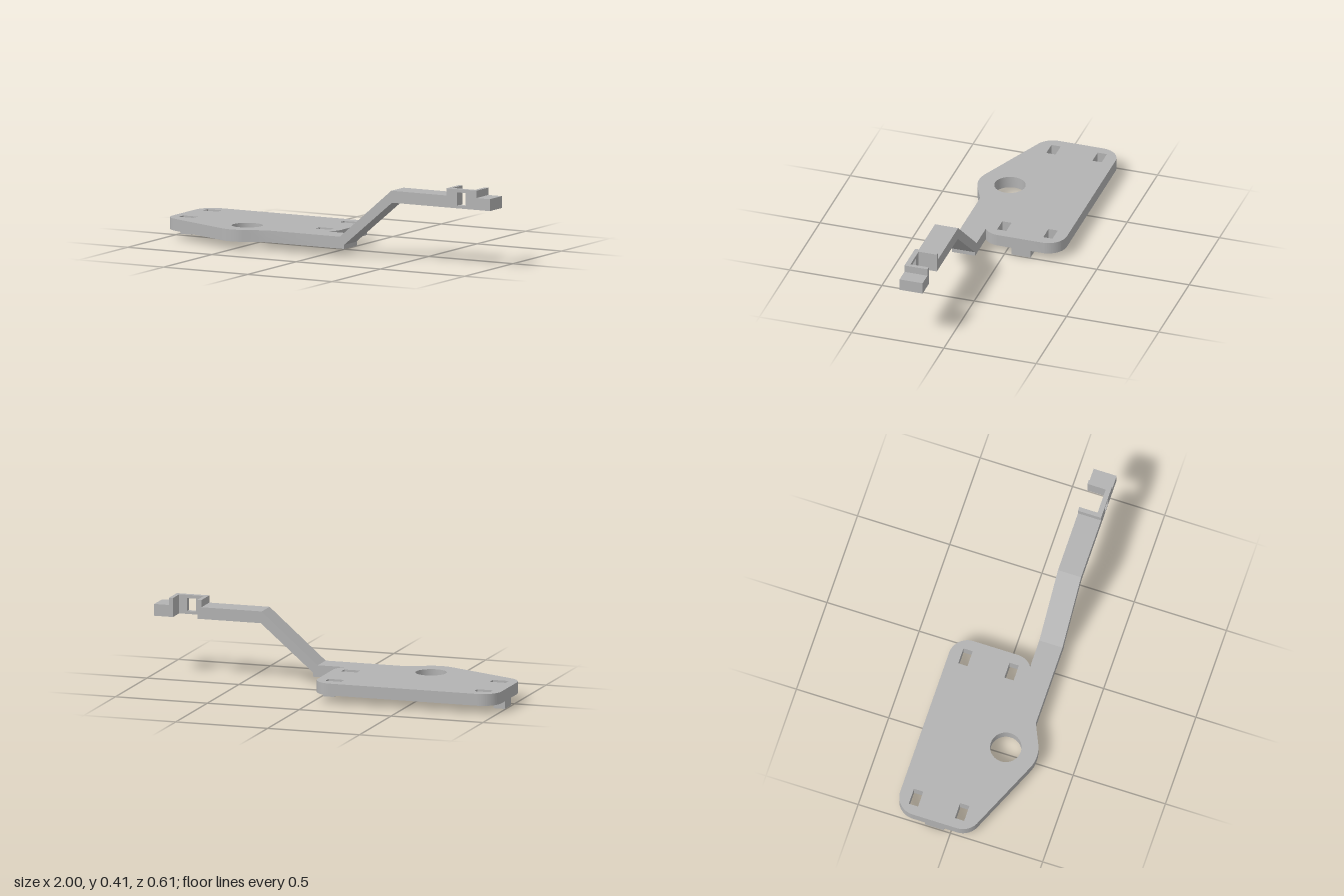
import * as THREE from 'three';
import { toCreasedNormals } from 'three/addons/utils/BufferGeometryUtils.js';

const grey = new THREE.MeshStandardMaterial({ color: 0xb3b3b3 });
grey.name = 'plain grey';

const polygon = (pts) => new THREE.Shape(pts.map(([x, y]) => new THREE.Vector2(x, y)));

function rectHole(x0, x1, y0, y1) {
  return new THREE.Path([[x0, y0], [x1, y0], [x1, y1], [x0, y1]].map(([x, y]) => new THREE.Vector2(x, y)));
}

function circleHole(x, y, r) {
  return new THREE.Path().absarc(x, y, r, 0, Math.PI * 2, true);
}

function extrude(name, shape, depth) {
  const geo = new THREE.ExtrudeGeometry(shape, { depth, bevelEnabled: false, curveSegments: 20 });
  const mesh = new THREE.Mesh(toCreasedNormals(geo, 0.5), grey);
  mesh.name = name;
  return mesh;
}

// Shape drawn in plan (x, z), lying flat between two heights
function flat(name, shape, bottom, top) {
  const mesh = extrude(name, shape, top - bottom);
  mesh.geometry.rotateX(Math.PI / 2).translate(0, top, 0);
  return mesh;
}

// Shape drawn in front elevation (x, y), between two depths
function upright(name, shape, back, front) {
  const mesh = extrude(name, shape, front - back);
  mesh.geometry.translate(0, 0, back);
  return mesh;
}

export function createModel() {
  const model = new THREE.Group();
  model.name = 'mountingBracket';

  const y0 = 0.043, y1 = 0.105;          // base plate
  const armBack = 0.115, armFront = 0.24; // arm depth
  const low = 0.305, high = 0.367, lip = 0.405; // raised arm heights
  const tilt = 0.403;                    // slope of the pointed front edge

  // Base plate outline: rounded corners, front nose, stub toward the arm
  const r = 0.1, noseX = -0.5, noseZ = 0.137;
  const plate = new THREE.Shape();
  plate.moveTo(-0.9, -0.305);
  plate.lineTo(-0.1, -0.305);
  plate.absarc(-0.1, -0.205, r, -Math.PI / 2, 0, false);
  plate.absarc(-0.1, 0.035, r, 0, Math.asin(0.8), false);
  plate.lineTo(0.11, armBack);
  plate.lineTo(0.11, armFront);
  plate.lineTo(-0.325, armFront);
  plate.absarc(noseX, noseZ, 0.166, Math.PI / 2 - tilt, Math.PI / 2 + tilt, false);
  plate.absarc(-0.9, 0.035, r, Math.PI / 2 + tilt, Math.PI, false);
  plate.absarc(-0.9, -0.205, r, Math.PI, Math.PI * 1.5, false);

  // Round opening and four strap slots
  plate.holes.push(circleHole(noseX, 0.135, 0.081));
  for (const x of [-0.95, -0.14]) {
    for (const z of [-0.242, 0.008]) plate.holes.push(rectHole(x, x + 0.086, z, z + 0.05));
  }
  model.add(flat('basePlate', plate, y0, y1));

  // Feet under the plate, each with a small screw hole
  for (const [name, x] of [['rightFoot', -0.995], ['leftFoot', -0.067]]) {
    const foot = polygon([[x, -0.139], [x + 0.062, -0.139], [x + 0.062, -0.037], [x, -0.037]]);
    foot.holes.push(circleHole(x + 0.031, -0.088, 0.016));
    model.add(flat(name, foot, 0, y0));
  }

  // Cranked arm with a raised lip at the pocket
  model.add(upright('arm', polygon([
    [0.11, y0], [0.135, y0], [0.135, 0.064], [0.42, low], [0.765, low], [0.765, lip],
    [0.743, lip], [0.743, high], [0.415, high], [0.11, y1],
  ]), armBack, armFront));

  // End block beyond the pocket
  model.add(upright('endBlock', polygon([
    [0.898, low], [1, low], [1, high], [0.92, high], [0.92, lip], [0.898, lip],
  ]), armBack, armFront));

  // Thin front wall of the pocket with its window
  const wall = polygon([[0.765, low], [0.898, low], [0.898, lip], [0.765, lip]]);
  wall.holes.push(rectHole(0.806, 0.855, 0.32, 0.388));
  model.add(upright('pocketWall', wall, 0.214, armFront));

  return model;
}
